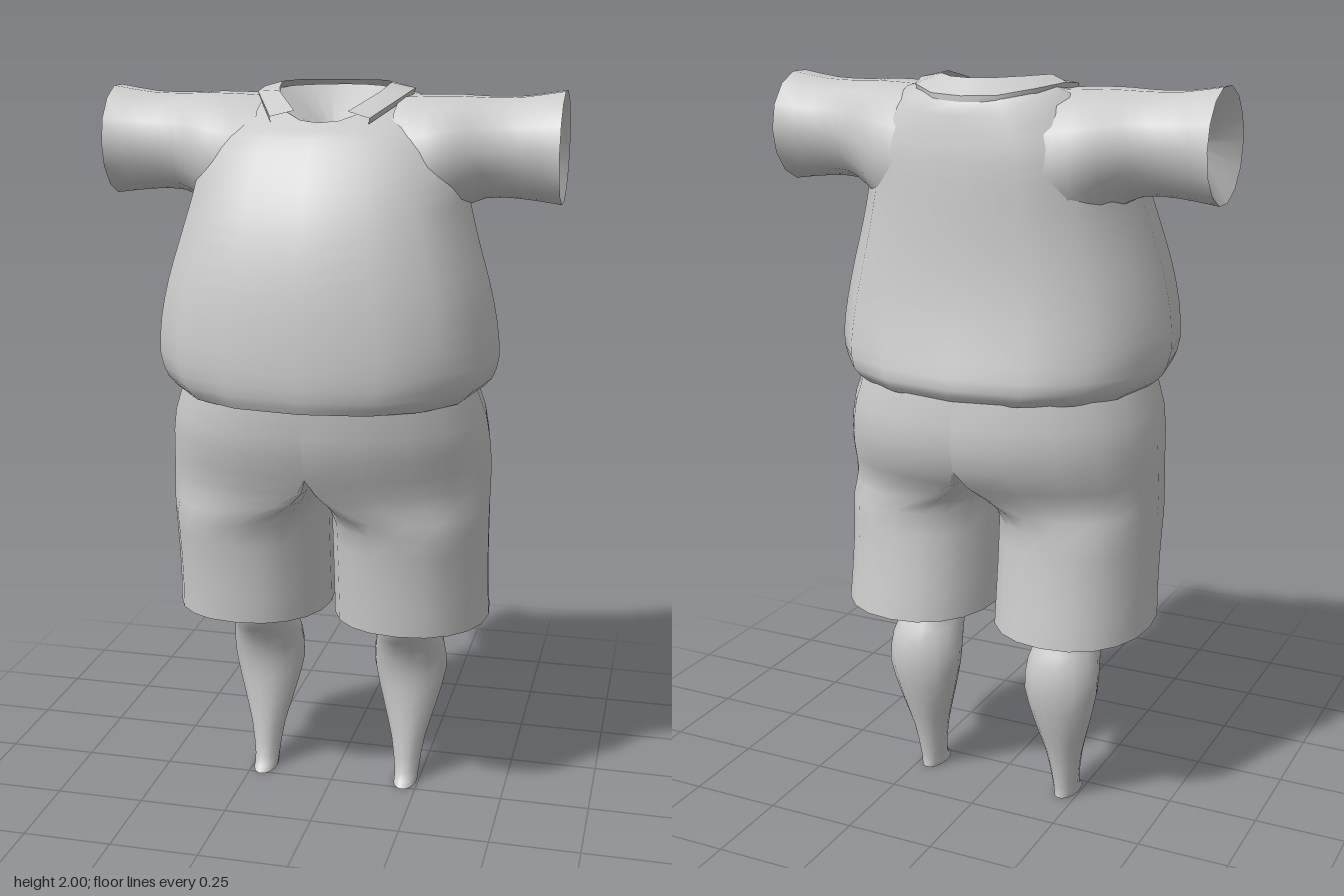
import * as THREE from 'three';

const material = new THREE.MeshStandardMaterial({ color: 0xcccccc, side: THREE.DoubleSide });
const V = (x, y, z) => new THREE.Vector3(x, y, z);
const lerp = THREE.MathUtils.lerp;
const power = (v, p) => Math.sign(v) * Math.pow(Math.abs(v), 2 / p);
const mirrorRing = (ring) => ring.map((v) => V(-v.x, v.y, v.z)).reverse();

// Samples n points of a superellipse; fn receives the rounded cosine and sine
function around(n, p, fn) {
  return Array.from({ length: n }, (_, j) => {
    const t = (j / n) * Math.PI * 2;
    return fn(power(Math.cos(t), p), power(Math.sin(t), p));
  });
}

// Horizontal ring from half width and front/back depth
function ring(y, w, zf, zb, { cx = 0, n = 16, p = 2.3, yAt = () => y } = {}) {
  return around(n, p, (c, s) => {
    const z = (zf + zb) / 2 - ((zf - zb) / 2) * s;
    return V(cx + w * c, yAt(z), z);
  });
}

// Skins a series of rings; sub adds curved rows, skip leaves faces out
function loft(name, rings, { sub = 1, closed = true, skip = () => false } = {}) {
  const n = rings[0].length, rows = (rings.length - 1) * sub;
  const columns = rings[0].map((_, j) =>
    new THREE.CatmullRomCurve3(rings.map((r) => r[j]), false, 'catmullrom', 0.45));
  const points = [], index = [];
  for (let i = 0; i <= rows; i++) {
    for (let j = 0; j < n; j++) {
      points.push(sub === 1 ? rings[i][j] : columns[j].getPoint(i / rows));
    }
  }
  for (let i = 0; i < rows; i++) {
    for (let j = 0; j < (closed ? n : n - 1); j++) {
      const k = (j + 1) % n;
      const [a, b, c, d] = [i * n + j, i * n + k, (i + 1) * n + k, (i + 1) * n + j];
      if (!skip([a, b, c, d].map((q) => points[q]))) index.push(a, b, c, a, c, d);
    }
  }
  const g = new THREE.BufferGeometry().setFromPoints(points);
  g.setIndex(index);
  g.computeVertexNormals();
  // Keep shading continuous across the centre line
  const nor = g.attributes.normal;
  points.forEach((q, i) => {
    if (Math.abs(q.x) < 1e-4) {
      const v = V(0, nor.getY(i), nor.getZ(i)).normalize();
      nor.setXYZ(i, v.x, v.y, v.z);
    }
  });
  const mesh = new THREE.Mesh(g, material);
  mesh.name = name;
  return mesh;
}

// Adds a left part and its mirror image
function addPair(group, name, rings, options) {
  group.add(loft('left' + name, rings, options));
  group.add(loft('right' + name, rings.map(mirrorRing), options));
}

function addShirt(group) {
  const rimY = (z) => lerp(1.985, 1.908, THREE.MathUtils.clamp((z + 0.05) / 0.19, 0, 1));
  const rows = [
    [1.2, 0.4, 0.358, -0.35], [1.235, 0.44, 0.372, -0.373], [1.3, 0.46, 0.376, -0.358],
    [1.4, 0.452, 0.37, -0.335], [1.5, 0.43, 0.357, -0.32], [1.6, 0.4, 0.335, -0.312],
    [1.7, 0.372, 0.3, -0.308], [1.8, 0.35, 0.245, -0.303],
  ].map((r) => ring(...r));
  rows.push(ring(1.87, 0.31, 0.195, -0.292));
  rows.push(ring(0, 0.24, 0.165, -0.277, { p: 2.1, yAt: (z) => z < -0.15 ? lerp(1.965, 1.945, (-0.15 - z) / 0.127) : lerp(1.965, 1.893, (z + 0.15) / 0.315) }));
  const rim = ring(0, 0.147, 0.145, -0.23, { p: 1.8, yAt: rimY });
  rows.push(rim);
  // The arm holes are left open beneath the sleeves
  const armHole = (q) => {
    const m = q.reduce((s, v) => s.add(v), V(0, 0, 0)).divideScalar(4);
    return Math.abs(m.x) > 0.22 && m.y > 1.77 && m.y < 1.92 && Math.abs(m.z + 0.05) < 0.1;
  };
  group.add(loft('shirtBody', rows, { sub: 2, skip: armHole }));

  // Shallow funnel closing the neck
  group.add(loft('neckFunnel', [ring(1.88, 0.02, -0.01, -0.05, { p: 1.8 }), rim]));

  // Collar strip, split at the front: [inner x, y, z, outer x, y, z]
  const half = [
    [0, 1.997, -0.232, 0, 1.957, -0.28], [0.06, 1.998, -0.215, 0.09, 1.96, -0.262],
    [0.118, 2, -0.155, 0.168, 1.975, -0.2], [0.147, 1.999, -0.06, 0.205, 1.984, -0.1],
    [0.135, 1.98, 0.02, 0.2, 1.975, -0.01], [0.07, 1.935, 0.115, 0.13, 1.92, 0.132],
  ];
  const strip = [
    ...half.slice(1).reverse().map(([a, b, c, d, e, f]) => [-a, b, c, -d, e, f]), ...half,
  ];
  const inner = strip.map((r) => V(r[0], r[1], r[2]));
  const outer = strip.map((r) => V(r[3], r[4], r[5]));
  const outerLow = outer.map((v) => V(v.x * 0.98, v.y - 0.015, v.z));
  group.add(loft('collar', [inner, outer], { closed: false }));
  group.add(loft('collarEdge', [outer, outerLow], { closed: false }));
}

function addSleeves(group) {
  const sleeveRing = (x, top, bottom, zf, zb, p = 2) => around(14, p, (c, s) =>
    V(x, (top + bottom) / 2 + ((top - bottom) / 2) * s, (zf + zb) / 2 - ((zf - zb) / 2) * c));
  const cuff = sleeveRing(0.605, 1.988, 1.695, 0.092, -0.195);
  const rows = [
    sleeveRing(0.18, 1.97, 1.58, 0.14, -0.262, 2.2),
    sleeveRing(0.27, 1.973, 1.62, 0.145, -0.25, 2.2),
    sleeveRing(0.34, 1.973, 1.675, 0.125, -0.222, 2.1),
    sleeveRing(0.41, 1.97, 1.708, 0.095, -0.193),
    sleeveRing(0.5, 1.972, 1.708, 0.08, -0.18),
    cuff,
  ];
  addPair(group, 'Sleeve', rows, { sub: 2 });
  // Recessed cuff end with a small hole
  addPair(group, 'CuffRecess', [cuff, sleeveRing(0.53, 1.866, 1.814, -0.024, -0.076)]);
}

function addShorts(group) {
  // y, half width, front, back, split (0 = joined hips, 1 = separate leg)
  const rows = [
    [0.55, 0.444, 0.19, -0.29, 1], [0.62, 0.441, 0.196, -0.278, 1],
    [0.7, 0.44, 0.205, -0.267, 1], [0.78, 0.441, 0.217, -0.26, 1],
    [0.84, 0.442, 0.23, -0.258, 1], [0.88, 0.443, 0.242, -0.262, 0.72],
    [0.92, 0.444, 0.258, -0.28, 0.36], [0.96, 0.444, 0.278, -0.312, 0.12],
    [1.01, 0.443, 0.303, -0.343, 0], [1.07, 0.438, 0.328, -0.358, 0],
    [1.13, 0.428, 0.343, -0.36, 0], [1.21, 0.4, 0.352, -0.35, 0],
  ].map(([y, w, zf, zb, split]) => around(20, 2.2, (c, s) => {
    const z = (zf + zb) / 2 - ((zf - zb) / 2) * s;
    const joined = Math.max(0, w * c), mid = (w + 0.01) / 2;
    const x = lerp(Math.abs(joined) < 1e-6 ? 0 : joined, mid + (w - mid) * c, split);
    return V(x, y < 0.56 ? y - (0.19 - z) * 0.03 : y, z);
  }));
  addPair(group, 'ShortsHalf', rows, { skip: (q) => q.every((v) => Math.abs(v.x) < 1e-4) });
}

function addLegs(group) {
  const options = { cx: 0.212, n: 14, p: 2 };
  const rows = [
    [0, 0.034, 0.01, -0.12], [0.035, 0.036, -0.024, -0.118], [0.13, 0.05, -0.034, -0.138],
    [0.23, 0.078, -0.038, -0.17], [0.34, 0.105, -0.033, -0.197], [0.43, 0.1, 0.005, -0.194],
    [0.49, 0.083, 0.06, -0.165], [0.54, 0.085, 0.076, -0.146], [0.65, 0.11, 0.085, -0.15],
    [0.82, 0.14, 0.11, -0.18],
  ].map((r) => ring(...r, options));
  addPair(group, 'LowerLeg', rows, { sub: 2 });
  // Ankle closed by a slightly hollow end
  addPair(group, 'AnkleEnd', [ring(0.012, 0.002, -0.052, -0.056, options), rows[0]].map((r) => r.slice().reverse()));
}

export function createModel() {
  const model = new THREE.Group();
  model.name = 'clothedFigure';
  const parts = { shirt: addShirt, sleeves: addSleeves, shorts: addShorts, legs: addLegs };
  for (const [name, build] of Object.entries(parts)) {
    const group = new THREE.Group();
    group.name = name;
    build(group);
    model.add(group);
  }
  return model;
}
